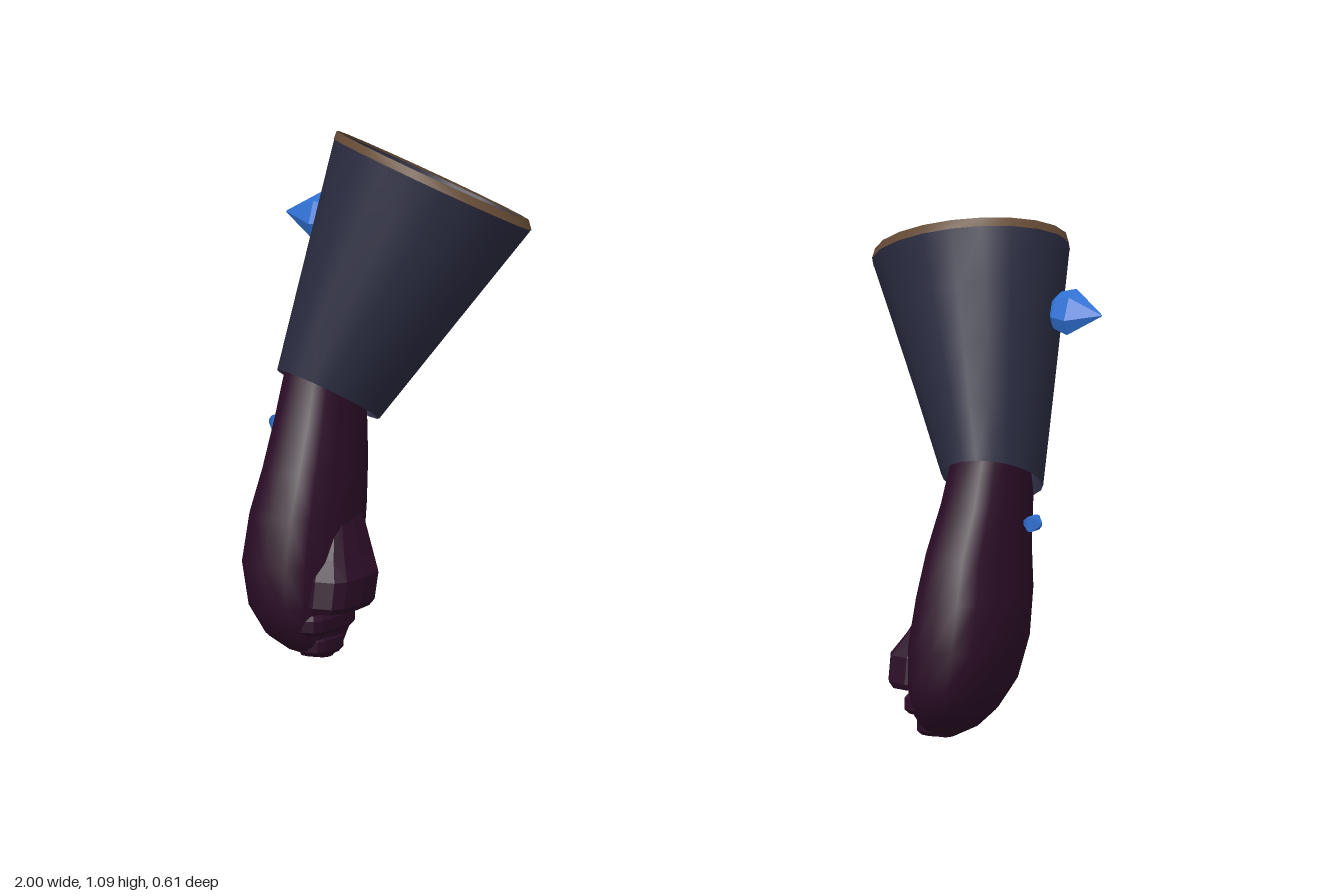
import * as THREE from 'three';

const navy = new THREE.MeshStandardMaterial({ color: 0x2a2b40, side: THREE.DoubleSide });
navy.name = 'navy cloth';
const maroon = new THREE.MeshStandardMaterial({ color: 0x2b0d26 });
maroon.name = 'maroon leather';
const brown = new THREE.MeshStandardMaterial({ color: 0x694e37, side: THREE.DoubleSide });
brown.name = 'brown trim';
const blue = new THREE.MeshStandardMaterial({ color: 0x2f70d2 });
blue.name = 'blue crystal';

// Loft through rings { c: centre, rx, rz, slope: [dy/dx, dy/dz] }; power < 1 squares the section
function loft(rings, { sides = 16, power = 1, capped = true, phase = 0 } = {}) {
  const pos = [], index = [];
  const bend = v => Math.sign(v) * Math.abs(v) ** power;
  for (const { c, rx, rz, slope = [0, 0] } of rings) {
    for (let i = 0; i < sides; i++) {
      const a = phase + i / sides * Math.PI * 2;
      const dx = bend(Math.cos(a)) * rx, dz = bend(Math.sin(a)) * rz;
      pos.push(c[0] + dx, c[1] + dx * slope[0] + dz * slope[1], c[2] + dz);
    }
  }
  const last = (rings.length - 1) * sides, bottom = rings.length * sides;
  for (let i = 0; i < sides; i++) {
    const j = (i + 1) % sides;
    for (let r = 0; r < last; r += sides) {
      index.push(r + i, r + sides + i, r + j, r + j, r + sides + i, r + sides + j);
    }
    if (capped) index.push(bottom, i, j, bottom + 1, last + j, last + i);
  }
  if (capped) pos.push(...rings[0].c, ...rings[rings.length - 1].c);
  const geo = new THREE.BufferGeometry();
  geo.setAttribute('position', new THREE.Float32BufferAttribute(pos, 3));
  geo.setIndex(index);
  return geo;
}

// Ring from its extents [y, xMin, xMax, zMin, zMax]
const extent = ([y, x0, x1, z0, z1]) => ({
  c: [(x0 + x1) / 2, y, (z0 + z1) / 2], rx: (x1 - x0) / 2, rz: (z1 - z0) / 2,
});

// Slanted ring of the flaring cuff, t = 0 at the wrist, 1 at the elbow
const mix = THREE.MathUtils.lerp;
const cuffRing = (t, grow = 1, lift = 0) => ({
  c: [mix(0.814, 0.66, t), mix(0.54, 0.975, t) + lift, mix(0.062, -0.105, t)],
  rx: mix(0.1, 0.211, t) * grow, rz: mix(0.123, 0.197, t) * grow,
  slope: [mix(0.25, 0.31, t), mix(0.5, 0.4, t)],
});

// Crystal pointing along +x: rows of [x, height radius, depth radius]
function crystal(rows, sides, phase, tilt) {
  const geo = loft(rows.map(([x, rx, rz]) => ({ c: [0, x, 0], rx, rz })), { sides, phase });
  return geo.rotateZ(-Math.PI / 2).rotateX(tilt);
}

function gauntlet(side) {
  const group = new THREE.Group();
  group.name = side > 0 ? 'leftGauntlet' : 'rightGauntlet';
  const add = (name, geo, material, flat = false) => {
    if (side < 0) {
      geo.scale(-1, 1, 1);
      geo.setIndex(Array.from(geo.index.array).reverse());
    }
    if (flat) geo = geo.toNonIndexed();
    geo.computeVertexNormals();
    const mesh = new THREE.Mesh(geo, material);
    mesh.name = name;
    group.add(mesh);
    return mesh;
  };

  // Flared cuff, its lining and the trim around the upper edge
  const steps = [0, 0.25, 0.5, 0.75, 1];
  add('cuff', loft(steps.map(t => cuffRing(t)), { sides: 20, capped: false }), navy);
  add('cuffTrim', loft([cuffRing(1, 1.005), cuffRing(1, 0.975, 0.02)],
    { sides: 20, capped: false }), brown);
  add('cuffLining', loft(steps.map(t => cuffRing(t, 0.97, 0.015 * t)),
    { sides: 20, capped: false }), navy);

  // Closed fist with a narrow wrist
  const shift = side > 0 ? 0 : -0.018;
  const hand = loft([
    [0.003, 0.735, 0.775, 0.13, 0.175],
    [0.025, 0.722, 0.82, 0.085, 0.228],
    [0.06, 0.717, 0.855, 0.045, 0.275],
    [0.12, 0.708, 0.89, 0.008, 0.303],
    [0.21, 0.703, 0.912, -0.012, 0.302],
    [0.31, 0.708, 0.908, -0.03, 0.275],
    [0.4, 0.716, 0.893, -0.04, 0.24],
    [0.5, 0.728, 0.888, -0.046, 0.19],
    [0.6, 0.738, 0.88, -0.03, 0.15],
    [0.64, 0.74, 0.877, -0.03, 0.135],
  ].map(extent), { sides: 16, power: 0.85 });
  add('hand', hand, maroon).position.x = shift;

  // Thumb folded across the palm, with a flat underside
  add('thumb', loft([
    [0.112, 0.662, 0.78, 0.08, 0.25],
    [0.125, 0.653, 0.78, 0.07, 0.255],
    [0.18, 0.652, 0.78, 0.055, 0.245],
    [0.22, 0.676, 0.78, 0.045, 0.215],
    [0.3, 0.712, 0.78, 0.04, 0.16],
  ].map(extent), { sides: 12, power: 0.6 }), maroon, true).position.x = shift;

  // Curled fingers below the thumb
  for (const [y, x, z0, z1] of [[0.062, 0.702, 0.08, 0.26], [0.012, 0.715, 0.11, 0.225]]) {
    add('finger', loft([
      [y, x + 0.008, 0.78, z0 + 0.01, z1 - 0.01],
      [y + 0.01, x, 0.78, z0, z1],
      [y + 0.034, x, 0.78, z0, z1],
      [y + 0.044, x + 0.008, 0.78, z0 + 0.01, z1 - 0.01],
    ].map(extent), { sides: 12, power: 0.6 }), maroon, true).position.x = shift;
  }

  // Large crystal through the cuff and a small stud beside the wrist
  const large = add('largeCrystal', crystal([
    [-0.065, 0.004, 0.003], [-0.035, 0.04, 0.022], [0, 0.05, 0.028], [0.073, 0.002, 0.002],
  ], 6, 0, -0.4), blue, true);
  large.position.set(side * 0.926, 0.886, -0.074);
  const small = add('smallCrystal', crystal([
    [-0.021, 0.006, 0.006], [-0.004, 0.022, 0.022], [0.006, 0.022, 0.022], [0.021, 0.004, 0.004],
  ], 4, Math.PI / 4, 0), blue, true);
  small.position.set(side * 0.92 + shift * 0.6, side > 0 ? 0.46 : 0.47, 0.072);
  return group;
}

export function createModel() {
  const model = new THREE.Group();
  model.name = 'gauntlets';
  model.add(gauntlet(1), gauntlet(-1));
  return model;
}
